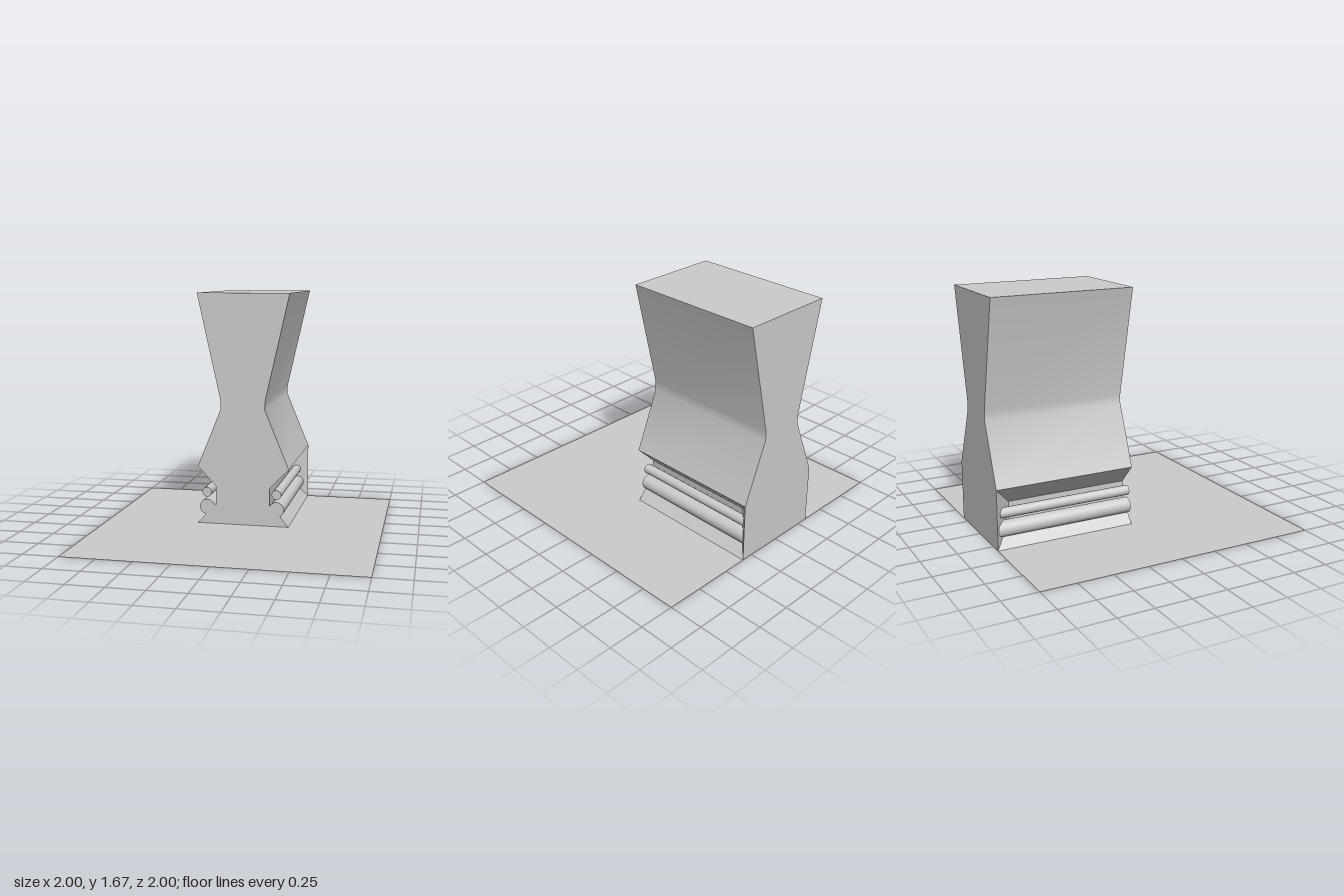
import * as THREE from 'three';
import { toCreasedNormals } from 'three/addons/utils/BufferGeometryUtils.js';

const material = new THREE.MeshStandardMaterial({ color: 0xcccccc });
const HALF = 0.333, HEIGHT = 1.667, SHOULDER = 0.42;

// Each side: waist half-width, groove wall, moulding centre, angle where the bead starts, wall foot
const SIDES = [
  { name: 'right', s: 1, waist: 0.16, wall: 0.195, cx: 0.245, start: -62, foot: 0.145 },
  { name: 'left', s: -1, waist: 0.163, wall: 0.2, cx: 0.265, start: -80, foot: 0.135 },
];

function addMesh(group, name, geometry, mat = material) {
  const mesh = new THREE.Mesh(geometry, mat);
  mesh.name = name;
  group.add(mesh);
  return mesh;
}

// Outline of one side, from the base to the top
function sideProfile({ s, waist, wall, cx, start, foot }) {
  const points = [[HALF, 0]];
  const steps = 14, r = 0.055;
  for (let i = 0; i <= steps; i++) {
    const a = THREE.MathUtils.degToRad(start + ((155 - start) * i) / steps);
    points.push([cx + r * Math.cos(a), 0.123 + r * Math.sin(a)]);
  }
  points.push([wall, foot], [wall, 0.278], [HALF, SHOULDER], [waist, 0.84], [waist, 0.905], [HALF, HEIGHT]);
  return points.map(([x, y]) => new THREE.Vector2(s * x, y));
}

export function createModel() {
  const group = new THREE.Group();
  group.name = 'grooved pedestal';

  // Ground sheet
  const sheet = new THREE.PlaneGeometry(2, 2).rotateX(-Math.PI / 2);
  addMesh(group, 'groundSheet', sheet, new THREE.MeshStandardMaterial({ color: 0xcccccc, side: THREE.DoubleSide }));

  // Waisted body with a groove and bead along each side
  const outline = new THREE.Shape([...sideProfile(SIDES[0]), ...sideProfile(SIDES[1]).reverse()]);
  const body = new THREE.ExtrudeGeometry(outline, { depth: 1, bevelEnabled: false }).translate(0, 0, -1);
  addMesh(group, 'body', toCreasedNormals(body, 0.45));

  for (const { name, s, wall, cx } of SIDES) {
    // Mitred wedge closing the groove at the back
    const w = wall - 0.01;
    const wedge = new THREE.Shape([
      new THREE.Vector2(s * HALF, 1),
      new THREE.Vector2(s * w, 1),
      new THREE.Vector2(s * w, 1 - (HALF - w)),
    ]);
    const wedgeGeometry = new THREE.ExtrudeGeometry(wedge, { depth: SHOULDER, bevelEnabled: false });
    addMesh(group, name + 'MitreWedge', wedgeGeometry.rotateX(-Math.PI / 2));

    // Free rod running along the groove into the wedge
    const rod = new THREE.CylinderGeometry(0.035, 0.035, 0.965, 16).rotateX(Math.PI / 2);
    addMesh(group, name + 'Rod', rod).position.set(s * cx, 0.232, -0.4825);
  }
  return group;
}
